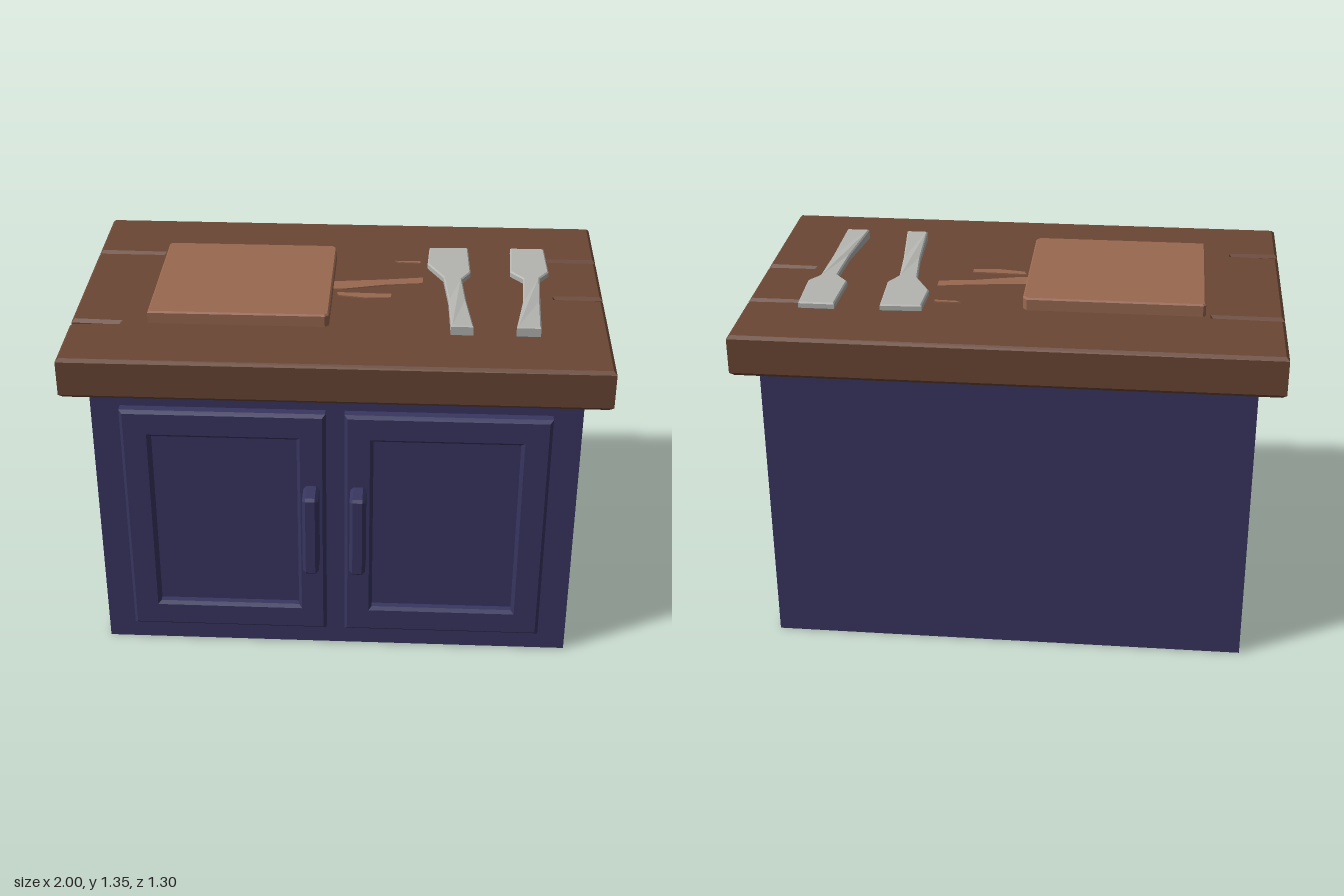
import * as THREE from 'three';

const mat = (name, color) => {
  const m = new THREE.MeshStandardMaterial({ color });
  m.name = name;
  return m;
};

const toShape = (points) => new THREE.Shape(points.map(([x, y]) => new THREE.Vector2(x, y)));
const rect = (x0, y0, x1, y1) => [[x0, y0], [x1, y0], [x1, y1], [x0, y1]];

// Bevelled extrusion whose full size matches the outline; spans z = 0..depth
function extrude(outline, depth, bevel, hole) {
  const shape = toShape(outline);
  if (hole) shape.holes.push(toShape(hole));
  const geo = new THREE.ExtrudeGeometry(shape, {
    depth: depth - 2 * bevel, bevelEnabled: bevel > 0, bevelThickness: bevel,
    bevelSize: bevel, bevelOffset: -bevel, bevelSegments: 1,
  });
  return geo.translate(0, 0, bevel);
}

// Horizontal slab from an (x, z) outline between two heights
function slab(outline, y0, y1, bevel) {
  return extrude(outline, y1 - y0, bevel).rotateX(Math.PI / 2).translate(0, y1, 0);
}

export function createModel() {
  const group = new THREE.Group();
  const navy = mat('navy paint', 0x383660);
  const wood = mat('dark wood', 0x6a4634);
  const lightWood = mat('light wood', 0x996850);
  const metal = mat('cutlery metal', 0xb4b5b1);

  const add = (name, geo, material, parent = group) => {
    const mesh = new THREE.Mesh(geo, material);
    mesh.name = name;
    parent.add(mesh);
    return mesh;
  };

  // Cabinet body
  add('cabinetBody', new THREE.BoxGeometry(1.81, 1.15, 1.1).translate(0, 0.575, -0.035), navy);

  // Two framed doors with recessed panels and bar handles
  for (const side of [-1, 1]) {
    const door = new THREE.Group();
    door.name = side < 0 ? 'rightDoor' : 'leftDoor';
    const xs = (a, b) => (side < 0 ? [-b, -a] : [a, b]);
    const [o0, o1] = xs(0.035, 0.795);
    const [i0, i1] = xs(0.142, 0.685);
    add('doorFrame', extrude(rect(o0, 0.095, o1, 1.07), 0.055, 0.012,
      rect(i0, 0.205, i1, 0.96)).translate(0, 0, 0.505), navy, door);
    add('doorPanel', new THREE.BoxGeometry(i1 - i0 + 0.02, 0.775, 0.02)
      .translate((i0 + i1) / 2, 0.5825, 0.515), navy, door);

    const bar = extrude(
      [[0.55, 0.425], [0.645, 0.425], [0.655, 0.435], [0.655, 0.755], [0.645, 0.765], [0.55, 0.765]],
      0.06, 0.012,
      [[0.562, 0.507], [0.603, 0.507], [0.603, 0.655], [0.59, 0.688], [0.562, 0.688]]);
    add('doorHandle', bar.rotateY(-Math.PI / 2).translate(side * 0.088 + 0.03, 0, 0), navy, door);
    group.add(door);
  }

  // Countertop: solid lower slab and an upper layer with split plank ends
  add('countertopBase', slab(rect(-1, -0.65, 1, 0.6), 1.14, 1.265, 0.015), wood);
  const planks = [
    [-1, -0.65], [1, -0.65],
    [1, -0.325], [0.81, -0.32], [0.81, -0.312], [1, -0.312],
    [1, 0.01], [0.82, 0.013], [0.82, 0.021], [1, 0.025],
    [1, 0.6], [-1, 0.6],
    [-1, 0.312], [-0.82, 0.302], [-0.82, 0.294], [-1, 0.286],
    [-1, -0.312], [-0.74, -0.312], [-0.74, -0.32], [-1, -0.325],
  ];
  add('countertopPlanks', slab(planks, 1.235, 1.3, 0.012), wood);

  // Cutting board with slightly clipped corners
  add('cuttingBoard', slab([
    [-0.71, -0.31], [-0.70, -0.32], [-0.05, -0.32], [-0.035, -0.3],
    [-0.035, 0.285], [-0.05, 0.3], [-0.71, 0.3],
  ], 1.29, 1.348, 0.006), lightWood);

  // Pale splinters beside the board
  const splinters = [
    [[-0.04, -0.08], [0.16, -0.105], [0.31, -0.13], [0.31, -0.08], [0.17, -0.06], [0.0, -0.015], [-0.04, -0.015]],
    [[-0.02, 0.015], [0.19, 0.02], [0.19, 0.05], [0.1, 0.058], [-0.01, 0.04]],
    [[0.2, -0.28], [0.3, -0.28], [0.3, -0.265], [0.22, -0.268]],
  ];
  for (const s of splinters) add('woodSplinter', slab(s, 1.297, 1.305, 0), lightWood);

  // Cutlery: broad head, neck and long handle, with raised ends
  const cutlery = {
    leftCutlery: [
      [0.66, -0.38], [0.795, -0.38], [0.802, -0.165], [0.765, -0.11], [0.755, 0.1],
      [0.745, 0.345], [0.655, 0.345], [0.69, 0.1], [0.7, -0.1], [0.652, -0.16],
    ],
    rightCutlery: [
      [0.335, -0.37], [0.49, -0.375], [0.497, -0.15], [0.462, -0.085], [0.475, 0.1],
      [0.498, 0.345], [0.415, 0.345], [0.408, 0.1], [0.39, -0.1], [0.328, -0.22],
    ],
  };
  for (const [name, outline] of Object.entries(cutlery)) {
    const geo = slab(outline, 1.297, 1.325, 0.005);
    const p = geo.attributes.position;
    for (let i = 0; i < p.count; i++) {
      if (p.getY(i) > 1.31) p.setY(i, p.getY(i) + 0.13 * Math.max(0, p.getZ(i)) ** 2);
    }
    geo.computeVertexNormals();
    add(name, geo, metal);
  }

  return group;
}
